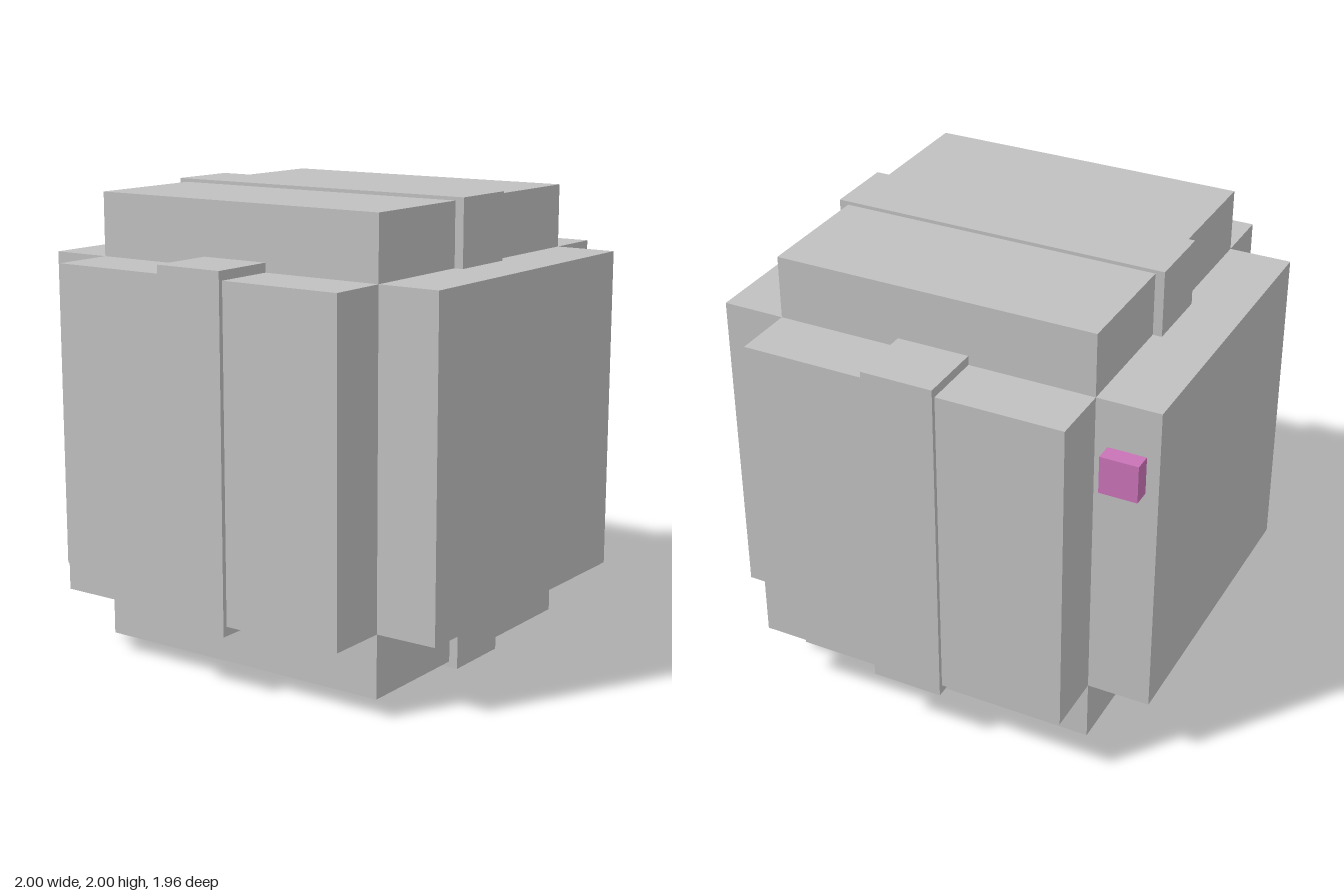
import * as THREE from 'three';

export function createModel() {
  const model = new THREE.Group();
  const grey = new THREE.MeshStandardMaterial({ color: 0xc0c0c0 });
  grey.name = 'light grey';
  const pink = new THREE.MeshStandardMaterial({ color: 0xc974b7 });
  pink.name = 'pink';

  const addBox = (name, size, position, material) => {
    const mesh = new THREE.Mesh(new THREE.BoxGeometry(...size), material);
    mesh.name = name;
    mesh.position.set(...position);
    model.add(mesh);
  };

  const middle = [0, 1.005, 0];
  const wide = 1.41;
  const long = 1.96;

  // Three crossing blocks, one along each axis
  addBox('verticalBlock', [wide, long, wide], middle, grey);
  addBox('sideBlock', [long, wide, wide], middle, grey);
  addBox('frontBackBlock', [wide, wide, long], middle, grey);

  // Raised bands over the top and bottom, and over both sides
  addBox('verticalBand', [0.315, 2, 1.49], [0, 1, 0], grey);
  addBox('sideBand', [2, 1.49, 0.315], middle, grey);

  // Small button in the rear corner
  addBox('button', [0.08, 0.165, 0.165], [0.742, 1.42, -0.842], pink);

  return model;
}
